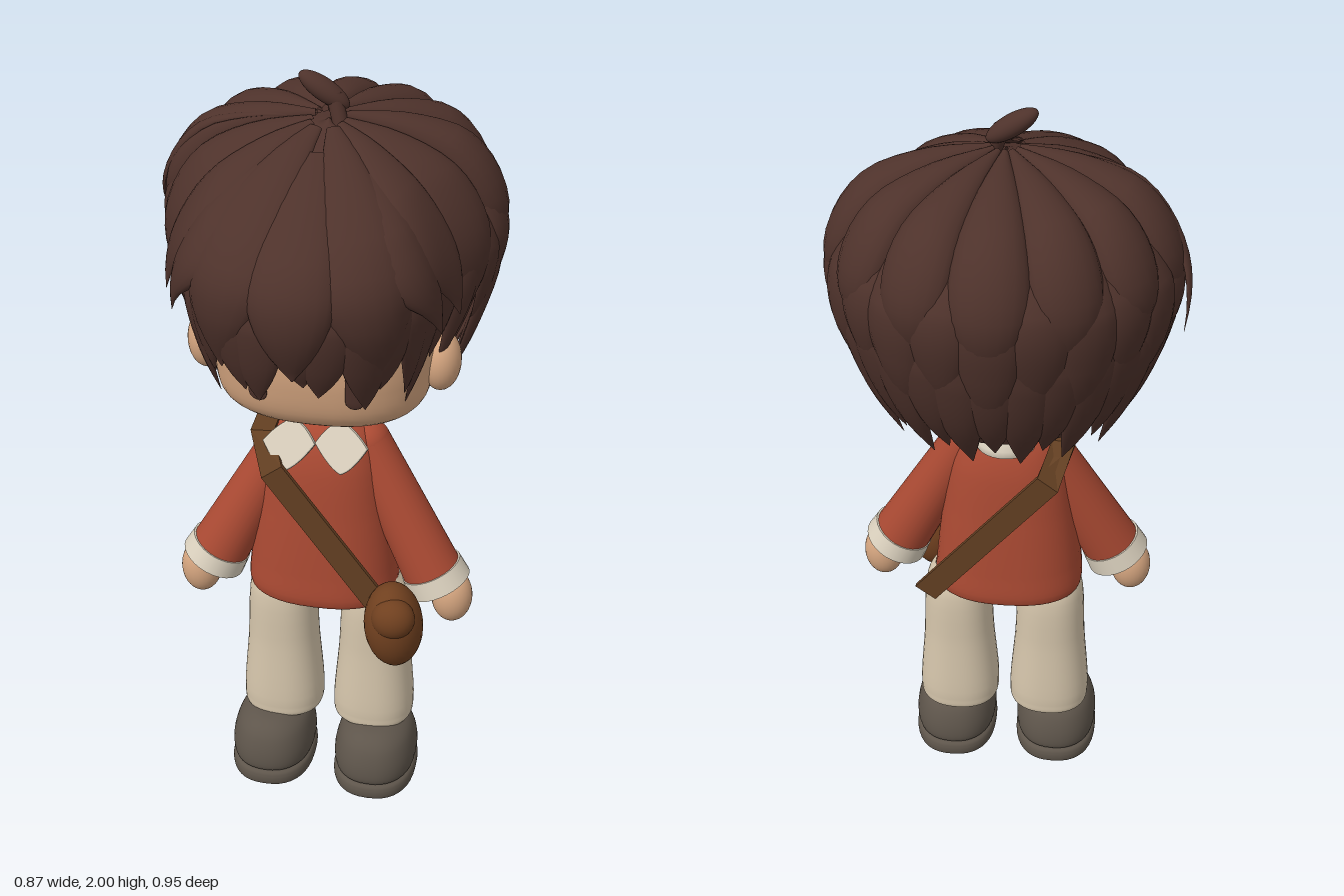
import * as THREE from 'three';
import { ParametricGeometry } from 'three/addons/geometries/ParametricGeometry.js';

const mat = (name, color) => Object.assign(new THREE.MeshStandardMaterial({ color }), { name });
const V = (x, y, z) => new THREE.Vector3(x, y, z);
const RAD = Math.PI / 180;

export function createModel() {
  const model = new THREE.Group();
  model.name = 'child';
  const hairMat = mat('hair brown', 0x4e322b), skin = mat('skin', 0xd6a680);
  const red = mat('sweater red', 0xab4a33), cream = mat('cream', 0xddd3c0);
  const trousers = mat('trouser beige', 0xd6c6ac), shoeMat = mat('shoe grey', 0x5e554b);
  const strapMat = mat('strap brown', 0x633f22), bagMat = mat('bag brown', 0x70401f);
  hairMat.side = THREE.DoubleSide;
  strapMat.side = THREE.DoubleSide;

  const add = (name, geo, material, pos = [0, 0, 0], parent = model) => {
    const m = new THREE.Mesh(geo, material);
    m.name = name;
    m.position.set(...pos);
    parent.add(m);
    return m;
  };
  const ball = (name, material, pos, radii) => {
    const m = add(name, new THREE.SphereGeometry(1, 28, 20), material, pos);
    m.scale.set(...radii);
    return m;
  };
  // Stack of superellipse sections [y, rx, rz], listed from top to bottom
  const loft = (sections, e = 2) => {
    const curve = new THREE.CatmullRomCurve3(sections.map(([y, rx, rz]) => V(rx, y, rz)));
    const pw = (s) => Math.sign(s) * Math.abs(s) ** (2 / e);
    return new ParametricGeometry((u, v, out) => {
      const p = curve.getPoint(v), a = Math.PI - u * Math.PI * 2;
      out.set(Math.max(p.x, 0.002) * pw(Math.sin(a)), p.y, Math.max(p.z, 0.002) * pw(Math.cos(a)));
    }, 40, (sections.length - 1) * 5);
  };
  // Tapered cylinder between two points
  const limb = (name, material, a, b, ra, rb) => {
    const d = b.clone().sub(a);
    const m = add(name, new THREE.CylinderGeometry(ra, rb, d.length(), 28), material,
      a.clone().add(b).multiplyScalar(0.5).toArray());
    m.quaternion.setFromUnitVectors(V(0, -1, 0), d.normalize());
  };

  // Head and neck
  add('head', loft([[1.75, 0, 0], [1.72, 0.15, 0.12], [1.6, 0.26, 0.22], [1.45, 0.28, 0.23], [1.3, 0.275, 0.225],
    [1.21, 0.255, 0.2], [1.165, 0.18, 0.14], [1.155, 0, 0]], 2.5), skin, [0, 0, 0.03]);
  add('neck', new THREE.CylinderGeometry(0.045, 0.05, 0.12, 24), skin, [0, 1.14, 0]);

  // Sweater body
  add('sweater', loft([[1.135, 0, 0], [1.13, 0.06, 0.045], [1.09, 0.125, 0.085], [1.02, 0.15, 0.112], [0.85, 0.175, 0.13],
    [0.7, 0.193, 0.14], [0.62, 0.198, 0.143], [0.602, 0.19, 0.135], [0.6, 0, 0]], 2.4), red, [-0.003, 0, 0.038]);

  // Collar
  add('collarBand', new THREE.LatheGeometry([[0.078, 1.08], [0.085, 1.105], [0.06, 1.152], [0.05, 1.148], [0.05, 1.09]]
    .map(([x, y]) => new THREE.Vector2(x, y)), 32), cream, [0, 0, -0.012]);
  const wing = new THREE.Shape();
  wing.moveTo(-0.062, 0.005);
  wing.quadraticCurveTo(-0.03, 0.06, 0.0, 0.06);
  wing.quadraticCurveTo(0.035, 0.04, 0.063, 0.002);
  wing.quadraticCurveTo(0.03, -0.055, 0.004, -0.064);
  wing.quadraticCurveTo(-0.025, -0.05, -0.062, 0.005);
  const wingGeo = new THREE.ExtrudeGeometry(wing, { depth: 0.012, bevelSize: 0.004, bevelThickness: 0.004, bevelSegments: 2 });

  for (const s of [1, -1]) {
    const side = s > 0 ? 'left' : 'right';
    const x = (d, shift = 0.008) => s * d + shift;
    add(side + 'CollarWing', wingGeo, cream, [x(0.066, -0.002), 1.094, s > 0 ? 0.152 : 0.163])
      .rotation.set(s * -0.42, s > 0 ? 0 : Math.PI, 0, 'YXZ');

    // Face
    ball(side + 'Ear', skin, [x(0.295, -0.005), 1.31, 0.045], [0.05, 0.08, 0.057]);
    const eye = add(side + 'Eye', new THREE.CapsuleGeometry(0.024, 0.056, 6, 20), hairMat, [x(0.119, -0.005), 1.313, 0.249]);
    eye.scale.z = 0.2;
    eye.rotation.set(0.1, s * 0.18, 0);

    // Arms
    ball(side + 'Shoulder', red, [x(0.1), 1.05, 0.037], [0.06, 0.06, 0.06]);
    limb(side + 'Sleeve', red, V(x(0.1), 1.05, 0.037), V(x(0.29), 0.69, 0.08), 0.06, 0.079);
    limb(side + 'Cuff', cream, V(x(0.281), 0.71, 0.078), V(x(0.304), 0.664, 0.081), 0.082, 0.087);
    ball(side + 'Hand', skin, [x(0.339), 0.63, 0.081], [0.054, 0.077, 0.05]);

    // Legs and shoes
    add(side + 'TrouserLeg', loft([[0.64, 0.06, 0.06], [0.6, 0.083, 0.087], [0.4, 0.097, 0.094], [0.21, 0.11, 0.1],
      [0.18, 0.104, 0.095], [0.178, 0, 0]], 2.3), trousers, [x(0.127, 0.01), 0, 0.035]);
    add(side + 'Shoe', loft([[0.19, 0, 0], [0.183, 0.06, 0.09], [0.155, 0.095, 0.125], [0.1, 0.112, 0.145],
      [0.055, 0.11, 0.145], [0.04, 0.1, 0.13]], 2.3), shoeMat, [x(0.145), 0, 0.075]);
    add(side + 'Sole', loft([[0.045, 0, 0], [0.043, 0.108, 0.143], [0.03, 0.114, 0.15], [0.008, 0.113, 0.149],
      [0.001, 0.108, 0.143], [0, 0, 0]], 2.4), shoeMat, [x(0.145), 0, 0.075]);
  }

  // Shoulder strap: [centre, half-width direction, outward direction]
  const diag = V(0.026, 0.02, 0), flat = V(0.03, 0.002, 0);
  const path = [
    [V(0.17, 0.665, 0.2), diag, V(0, 0, 1)], [V(-0.105, 1.03, 0.192), diag, V(0, 0, 1)],
    [V(-0.145, 1.093, 0.12), flat, V(0, 0.8, 0.6)], [V(-0.148, 1.095, -0.03), flat, V(0, 0.9, -0.4)],
    [V(-0.115, 1.03, -0.112), diag, V(0, 0, -1)], [V(0.205, 0.655, -0.115), diag, V(0, 0, -1)],
  ];
  const corners = [[1, 0], [-1, 0], [-1, 1], [1, 1], [1, 0]];
  const strap = new ParametricGeometry((u, v, out) => {
    const [p, w, n] = path[Math.round(v * 5)];
    const [a, b] = corners[Math.round(u * 4)];
    out.copy(p).addScaledVector(w, a).addScaledVector(n, b * 0.012);
  }, 4, 5).toNonIndexed();
  strap.computeVertexNormals();
  add('strap', strap, strapMat);

  // Bag
  ball('bag', bagMat, [0.216, 0.62, 0.222], [0.076, 0.125, 0.086]).rotation.set(0.12, 0, 0.08);
  ball('bagFlap', bagMat, [0.222, 0.675, 0.272], [0.056, 0.055, 0.048]);

  // Hair silhouette: [radius, y] from crown to tip at the front, side and back
  const [front, side, back] = [
    [[0, 1.91], [0.16, 1.845], [0.32, 1.745], [0.41, 1.65], [0.43, 1.57], [0.415, 1.46], [0.38, 1.34]],
    [[0, 1.905], [0.18, 1.865], [0.31, 1.79], [0.385, 1.67], [0.4, 1.56], [0.355, 1.38], [0.295, 1.2]],
    [[0, 1.905], [0.21, 1.87], [0.35, 1.8], [0.42, 1.68], [0.41, 1.54], [0.36, 1.37], [0.26, 1.19]],
  ].map((pts) => new THREE.CatmullRomCurve3(pts.map(([r, y]) => V(r, y, 0))));
  const centre = V(0, 1.55, 0);
  const shell = (a, t, lift, out) => {
    const c = Math.cos(a), sn = Math.sin(a), wf = Math.max(0, c) ** 2, wb = Math.max(0, -c) ** 2;
    const p = side.getPoint(t).multiplyScalar(1 - wf - wb);
    p.addScaledVector(front.getPoint(t), wf).addScaledVector(back.getPoint(t), wb);
    // Temples sit closer to the head than the fringe and the back
    const off = (Math.acos(THREE.MathUtils.clamp(c, -1, 1)) / RAD - 62) / 22;
    const r = p.x * (1 - (sn > 0 ? 0.17 : 0.13) * Math.exp(-off * off));
    out.set(r * sn, p.y, r * c);
    return out.addScaledVector(out.clone().sub(centre).normalize(), lift);
  };
  const hair = new THREE.Group();
  hair.name = 'hair';
  model.add(hair);

  // Inner cap, closing inwards under the locks
  add('hairCap', new ParametricGeometry((u, v, out) => {
    const a = -u * Math.PI * 2, k = Math.min(1, v / 0.85), c = Math.cos(a);
    const end = 0.77 + 0.18 * THREE.MathUtils.smoothstep(-c, 0.06, 0.3) + 0.05 * THREE.MathUtils.smoothstep(c, 0.5, 0.8);
    shell(a, 0.004 + k * (end - 0.004), -0.012, out);
    const pull = 1 - 0.5 * Math.max(0, v - 0.85) / 0.15;
    out.x *= pull;
    out.z *= pull;
  }, 72, 30), hairMat, [0, 0, 0], hair);

  // Lens-shaped lock lying on the silhouette; angles in degrees, flare lifts the tip
  const lock = (deg, half, t0, t1, lift, bulge, sway = 0, flare = 0) => {
    add('hairLock', new ParametricGeometry((u, v, out) => {
      const th = u * Math.PI * 2, k = Math.max(0, (v - 0.45) / 0.55);
      const w = Math.max(0.02, 1 - k ** 2.4), s = Math.sin(th);
      const a = (deg + sway * v * v + half * w * Math.cos(th)) * RAD;
      const out0 = lift * Math.min(1, v * 3) + flare * v ** 4;
      shell(a, t0 + (t1 - t0) * v, out0 + bulge * w * Math.min(1, 0.2 + v * 2) * (s > 0 ? s : 0.3 * s), out);
    }, 20, 16), hairMat, [0, 0, 0], hair);
  };
  // Lower and middle layers around the back
  for (let i = 0; i < 15; i++) lock(99 + i * 11.6, 9.5, 0.5, i % 2 ? 0.95 : 1, 0, 0.025, i % 3 - 1);
  for (let i = 0; i < 11; i++) lock(102 + i * 15.6, 11, 0.3, i % 2 ? 0.84 : 0.78, 0.004, 0.035);
  // Large petals over the crown
  for (const d of [0, 25, 51, 77]) {
    for (const s of d ? [1, -1] : [1]) lock(180 + s * d, 13.8, 0.03, d % 2 ? 0.66 : 0.7, 0.004, 0.057);
  }
  // Fringe tips
  for (let i = 0; i < 11; i++) lock(-55 + i * 11, 9, 0.5, [0.96, 1, 0.92][i % 3], 0, 0.02, i % 2 ? 3 : -3);
  // Front sweep, flared temple tips, sides and sideburns
  lock(0, 14, 0.14, 0.88, 0.012, 0.04);
  for (const s of [1, -1]) {
    lock(s * 22, 17, 0.06, 0.88, 0.004, 0.04, s * 6);
    lock(s * 32, 13, 0.15, 0.74, 0.004, 0.035, s * 20, 0.05);
    lock(s * 47, 15, 0.05, 0.72, 0.004, 0.03, s * 17, 0.05);
    lock(s * 48, 14, 0.3, 0.86, 0, 0.025, s * 6);
    lock(s * 75, 15, 0.04, 0.78, 0.004, 0.025, s * 4);
    lock(s * 63, 8, 0.45, 0.87, 0, 0.02, s * 3);
    lock(s * 76, 6, 0.45, 0.9, 0, 0.02, s * -2);
    lock(s * 90, 8, 0.45, 0.84, 0, 0.02, s * 3);
  }
  // Raised parting strand on the right
  lock(-93, 3.5, 0.06, 0.7, 0.04, 0.015, -17, 0.02);

  // Tuft on the crown
  ball('hairTuft', hairMat, [-0.014, 1.957, -0.012], [0.07, 0.026, 0.03]).rotation.z = -0.57;
  limb('hairTuftStem', hairMat, V(0.01, 1.95, -0.01), V(0.03, 1.88, 0.01), 0.02, 0.018);

  return model;
}
